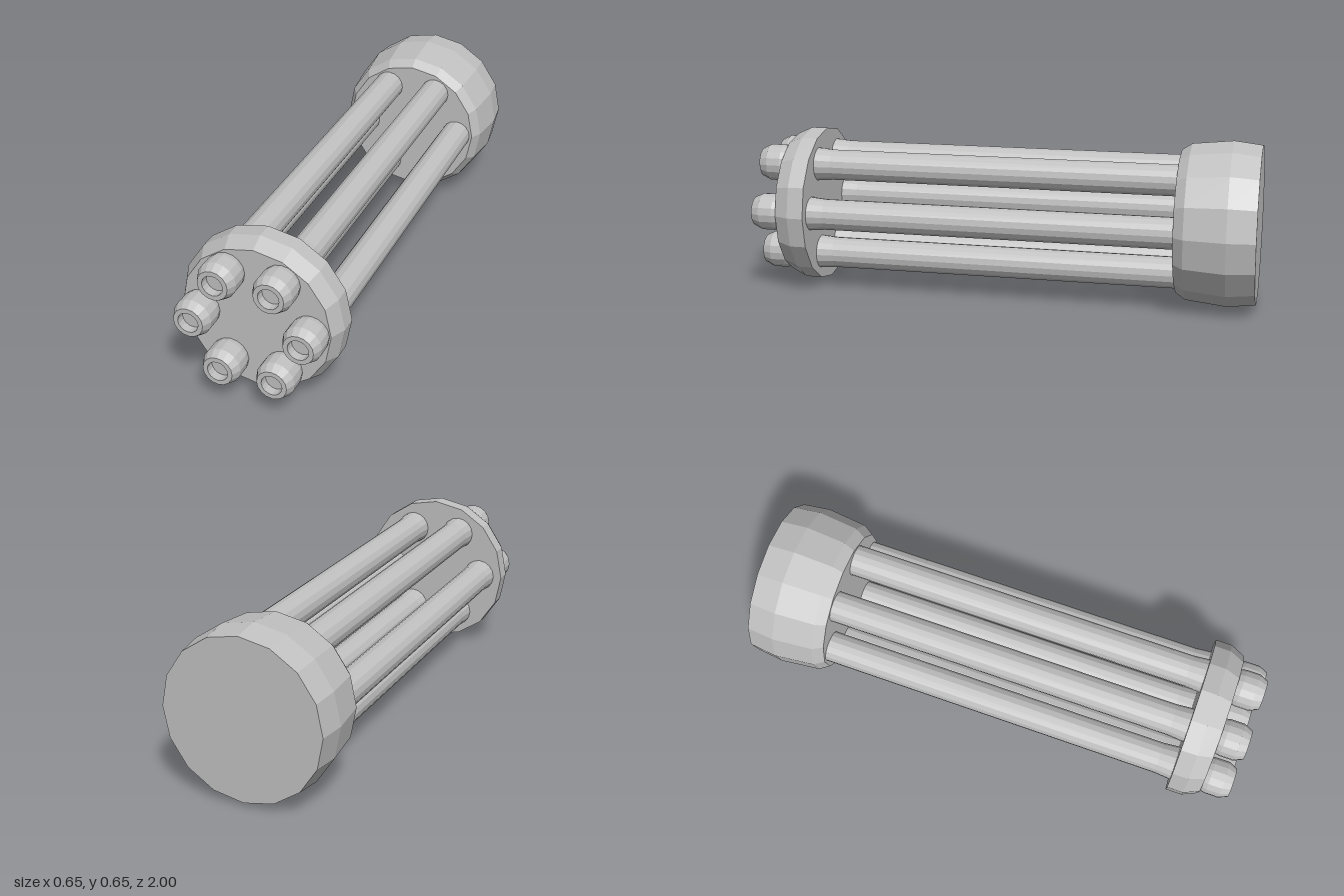
import * as THREE from 'three';

const CENTER_Y = 0.328;

// Turned part along z from [radius, z] pairs running back to front
function turned(name, profile, material) {
  const points = profile.map(([r, z]) => new THREE.Vector2(r, z));
  const geometry = new THREE.LatheGeometry(points, 16).rotateX(Math.PI / 2);
  const mesh = new THREE.Mesh(geometry, material);
  mesh.name = name;
  return mesh;
}

export function createModel() {
  const metal = new THREE.MeshStandardMaterial({ color: 0xc0c0c0, flatShading: true });
  metal.name = 'grey metal';

  const model = new THREE.Group();
  model.name = 'rotaryBarrels';

  // Rear drum and front clamp disc
  const drum = turned('rearDrum', [
    [0, -1], [0.314, -1], [0.327, -0.89], [0.31, -0.73], [0.284, -0.69], [0, -0.69],
  ], metal);
  const disc = turned('frontDisc', [
    [0, 0.765], [0.314, 0.765], [0.314, 0.83], [0.287, 0.89], [0, 0.89],
  ], metal);
  for (const part of [drum, disc]) {
    part.position.y = CENTER_Y;
    model.add(part);
  }

  // Ring of six barrels, each with a flared muzzle and recessed bore
  for (let i = 0; i < 6; i++) {
    const angle = (i * Math.PI) / 3;
    const barrel = new THREE.Group();
    barrel.name = `barrel${i + 1}`;
    barrel.add(
      turned('tube', [[0.062, -0.7], [0.062, 0.7], [0.068, 0.77]], metal),
      turned('muzzle', [
        [0.068, 0.88], [0.074, 0.91], [0.074, 0.965], [0.058, 1],
        [0.04, 1], [0.04, 0.965], [0, 0.965],
      ], metal),
    );
    barrel.position.set(0.211 * Math.cos(angle), CENTER_Y + 0.211 * Math.sin(angle), 0);
    model.add(barrel);
  }
  return model;
}
